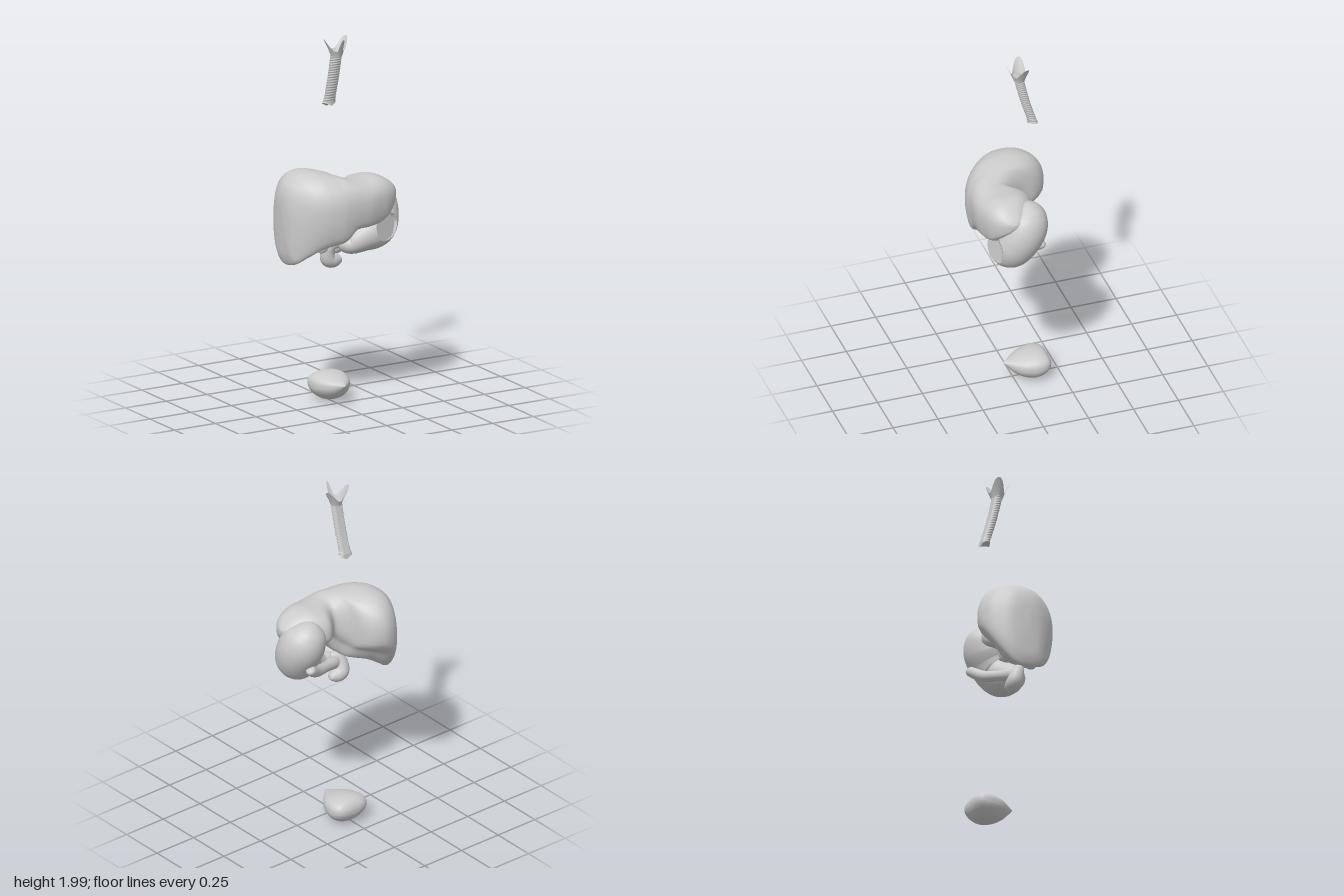
import * as THREE from 'three';

const V = (x, y, z) => new THREE.Vector3(x, y, z);
const material = new THREE.MeshStandardMaterial({ color: 0xcccccc });
const thinMaterial = new THREE.MeshStandardMaterial({ color: 0xcccccc, side: THREE.DoubleSide });
const soft = (v, e) => Math.sign(v) * Math.pow(Math.abs(v), e);

// Closed skin over a list of rings (equal point counts), with fan caps, facing outward
function skin(rings) {
  const n = rings[0].length, m = rings.length;
  const points = rings.flat(), index = [];
  const centre = ring => ring.reduce((s, p) => s.add(p), V(0, 0, 0)).divideScalar(n);
  points.push(centre(rings[0]), centre(rings[m - 1]));
  for (let j = 0; j < n; j++) {
    const k = (j + 1) % n;
    for (let i = 0; i < m - 1; i++) {
      const a = i * n + j, b = i * n + k;
      index.push(a, b, a + n, b, b + n, a + n);
    }
    index.push(m * n, k, j, m * n + 1, (m - 1) * n + j, (m - 1) * n + k);
  }
  let volume = 0;
  for (let i = 0; i < index.length; i += 3) {
    const [a, b, c] = [0, 1, 2].map(k => points[index[i + k]]);
    volume += a.dot(b.clone().cross(c));
  }
  if (volume < 0) index.reverse();
  const geometry = new THREE.BufferGeometry().setFromPoints(points);
  geometry.setIndex(index);
  geometry.computeVertexNormals();
  return geometry;
}

// Smoothly interpolate sparse rings into dense ones
function refine(rings, steps) {
  const curves = rings[0].map((_, j) => new THREE.CatmullRomCurve3(rings.map(r => r[j])));
  return Array.from({ length: steps + 1 }, (_, i) => curves.map(c => c.getPoint(i / steps)));
}

// Rings along a path of [x, y, z, radius]; squared radii are blended so ends become round
function sweep(stations, steps = 48, sides = 32) {
  const path = new THREE.CatmullRomCurve3(stations.map(s => V(s[0], s[1], s[2])), false, 'catmullrom');
  const size = new THREE.CatmullRomCurve3(stations.map((s, i) => V(i, s[3] * s[3], 0)), false, 'catmullrom');
  const rings = [];
  let side = null;
  for (let i = 0; i <= steps; i++) {
    const t = i / steps, c = path.getPoint(t), dir = path.getTangent(t);
    const r = Math.sqrt(Math.max(1e-7, size.getPoint(t).y));
    if (!side) side = V(0.2, 0.1, 1).cross(dir);
    side = side.clone().addScaledVector(dir, -side.dot(dir)).normalize();
    const other = dir.clone().cross(side);
    rings.push(Array.from({ length: sides }, (_, j) => {
      const a = j / sides * Math.PI * 2;
      return c.clone().addScaledVector(side, r * Math.cos(a)).addScaledVector(other, r * Math.sin(a));
    }));
  }
  return rings;
}

// Liver: sections across x of [x, bottom, top, back, front, hollow under the back]
function liverGeometry() {
  const sections = [
    [-0.334, 1.03, 1.10, -0.02, 0.0, 0], [-0.329, 0.92, 1.165, -0.075, 0.035, 0],
    [-0.32, 0.84, 1.205, -0.115, 0.065, 0], [-0.30, 0.802, 1.245, -0.155, 0.10, 0.04],
    [-0.25, 0.835, 1.285, -0.212, 0.155, 0.08], [-0.18, 0.88, 1.30, -0.233, 0.20, 0.2],
    [-0.12, 0.90, 1.293, -0.21, 0.222, 0.25], [-0.08, 0.91, 1.283, -0.16, 0.23, 0.25],
    [-0.05, 0.93, 1.273, -0.07, 0.23, 0.25], [0.0, 0.985, 1.258, -0.01, 0.23, 0.25],
    [0.08, 0.99, 1.255, -0.075, 0.23, 0.4], [0.15, 1.0, 1.258, -0.06, 0.215, 0.4],
    [0.20, 1.025, 1.245, -0.03, 0.2, 0.4], [0.25, 1.075, 1.215, 0.005, 0.17, 0.3],
    [0.28, 1.115, 1.187, 0.035, 0.13, 0.1], [0.292, 1.145, 1.17, 0.065, 0.095, 0],
  ];
  const rings = sections.map(([x, y0, y1, z0, z1, hollow]) =>
    Array.from({ length: 48 }, (_, j) => {
      const a = j / 48 * Math.PI * 2;
      // the lower front border is sharper than the rest
      const e = Math.cos(a) > 0 && Math.sin(a) < 0 ? 0.82 - 0.3 * Math.pow(Math.sin(2 * a), 2) : 0.82;
      const c = soft(Math.cos(a), e), s = soft(Math.sin(a), e);
      const pull = c < 0 && s < 0 ? 1 - hollow * Math.pow(Math.sin(2 * a), 2) : 1;
      return V(x, (y0 + y1) / 2 + (y1 - y0) / 2 * s * pull, (z0 + z1) / 2 + (z1 - z0) / 2 * c * pull);
    }));
  return skin(refine(rings, 90));
}

// Bladder: sections along z of [z, bottom, top, half width]
function bladderGeometry() {
  const sections = [
    [0.056, 0.104, 0.111, 0.004], [0.03, 0.075, 0.12, 0.028], [0, 0.045, 0.13, 0.058],
    [-0.04, 0.02, 0.143, 0.088], [-0.09, 0.005, 0.154, 0.106], [-0.13, 0.009, 0.156, 0.109],
    [-0.165, 0.03, 0.147, 0.099], [-0.185, 0.055, 0.127, 0.075], [-0.194, 0.078, 0.105, 0.038],
  ];
  const rings = sections.map(([z, y0, y1, w]) => Array.from({ length: 40 }, (_, j) => {
    const a = j / 40 * Math.PI * 2, s = Math.sin(a);
    // flatter and wider above the middle
    return V(0.013 + w * Math.cos(a) * (1 + 0.1 * s),
      (y0 + y1) / 2 + (y1 - y0) / 2 * (s > 0 ? soft(s, 0.75) : s), z);
  }));
  return skin(refine(rings, 48));
}

// Windpipe: ringed tube with a flat, smooth back and a pointed lower end
function windpipeGeometry() {
  const path = new THREE.QuadraticBezierCurve3(V(0.012, 1.915, -0.032), V(0.012, 1.78, -0.055), V(0.012, 1.622, -0.109));
  const rings = [], steps = 160;
  for (let i = 0; i <= steps; i++) {
    const t = i / steps, c = path.getPoint(t);
    const flare = 1 + 0.2 * Math.max(0, (t - 0.9) / 0.1);
    rings.push(Array.from({ length: 32 }, (_, j) => {
      const a = j / 32 * Math.PI * 2, front = Math.sin(a);
      const ripple = front > -0.5 ? 0.0012 * Math.cos(t * 20 * Math.PI * 2) : 0;
      const x = (0.031 * flare + ripple) * Math.cos(a);
      const z = Math.max(-0.02, (0.029 + ripple) * front);
      const point = t > 0.97 ? -0.02 * (1 - Math.abs(Math.cos(a))) : 0;
      return V(c.x + x, c.y + z * 0.25 + point, c.z + z);
    }));
  }
  return skin(rings);
}

// Voice box: flared cup rising to a narrow front leaf and two broad, rounded side wings
function voiceBoxGeometry() {
  const g = new THREE.PlaneGeometry(1, 1, 96, 16), p = g.attributes.position;
  for (let i = 0; i < p.count; i++) {
    const a = p.getX(i) * Math.PI * 2, v = p.getY(i) + 0.5;
    const leaf = Math.exp(-Math.pow(a / 0.24, 2));
    const wing = Math.exp(-Math.pow((Math.abs(a) - 1.85) / 0.62, 2));
    const h = v * (0.03 + 0.076 * leaf + 0.07 * wing);
    const f = Math.pow(h / 0.1, 1.2);
    const r = 0.03 + 0.043 * f;
    p.setXYZ(i, 0.013 + r * Math.sin(a), 1.893 + h, -0.033 + r * Math.cos(a));
  }
  g.computeVertexNormals();
  return g;
}

export function createModel() {
  const model = new THREE.Group();
  const add = (name, geometry, mat = material) => {
    const mesh = new THREE.Mesh(geometry, mat);
    mesh.name = name;
    model.add(mesh);
    return mesh;
  };

  add('windpipe', windpipeGeometry());
  add('voiceBox', voiceBoxGeometry(), thinMaterial);
  add('liver', liverGeometry());

  // Stomach, pressed flat within the round window
  const stomach = sweep([
    [0.17, 1.225, -0.03, 0], [0.19, 1.16, -0.02, 0.1], [0.207, 1.1, 0.002, 0.122], [0.211, 1.03, 0.038, 0.12],
    [0.18, 0.962, 0.075, 0.112], [0.09, 0.917, 0.09, 0.077], [0.02, 0.889, 0.08, 0.05], [-0.04, 0.905, 0.07, 0.02],
  ], 110, 110);
  const normal = V(0.33, 0.08, 0.94).normalize(), inside = V(0.172, 0.975, 0.085), depth = 0.077, radius = 0.073;
  for (const p of stomach.flat()) {
    const offset = p.clone().sub(inside), along = offset.dot(normal);
    const across = offset.addScaledVector(normal, -along).length();
    if (along > depth && across < radius) p.addScaledVector(normal, depth - along);
  }
  add('stomach', skin(stomach));
  const disc = add('stomachWindow', new THREE.CircleGeometry(radius, 48), thinMaterial);
  disc.position.copy(inside).addScaledVector(normal, depth + 0.002);
  disc.quaternion.setFromUnitVectors(V(0, 0, 1), normal);

  add('pancreas', skin(sweep([
    [0.24, 0.99, -0.09, 0], [0.222, 0.972, -0.08, 0.027], [0.15, 0.925, -0.04, 0.03],
    [0.05, 0.895, 0.005, 0.028], [-0.03, 0.875, 0.04, 0.034], [-0.07, 0.86, 0.045, 0],
  ])));
  add('duodenum', skin(sweep([
    [-0.02, 0.9, 0.07, 0.022], [-0.065, 0.895, 0.055, 0.03], [-0.082, 0.86, 0.04, 0.036],
    [-0.075, 0.815, 0.03, 0.043], [-0.045, 0.803, 0.03, 0.041], [-0.012, 0.806, 0.03, 0.028], [0.002, 0.81, 0.03, 0],
  ])));
  add('gallbladder', skin(sweep([
    [-0.165, 0.872, 0.1, 0], [-0.148, 0.895, 0.09, 0.028], [-0.115, 0.92, 0.07, 0.026],
    [-0.085, 0.93, 0.05, 0.01], [-0.05, 0.9, 0.045, 0.007],
  ])));
  add('bladder', bladderGeometry());
  return model;
}
